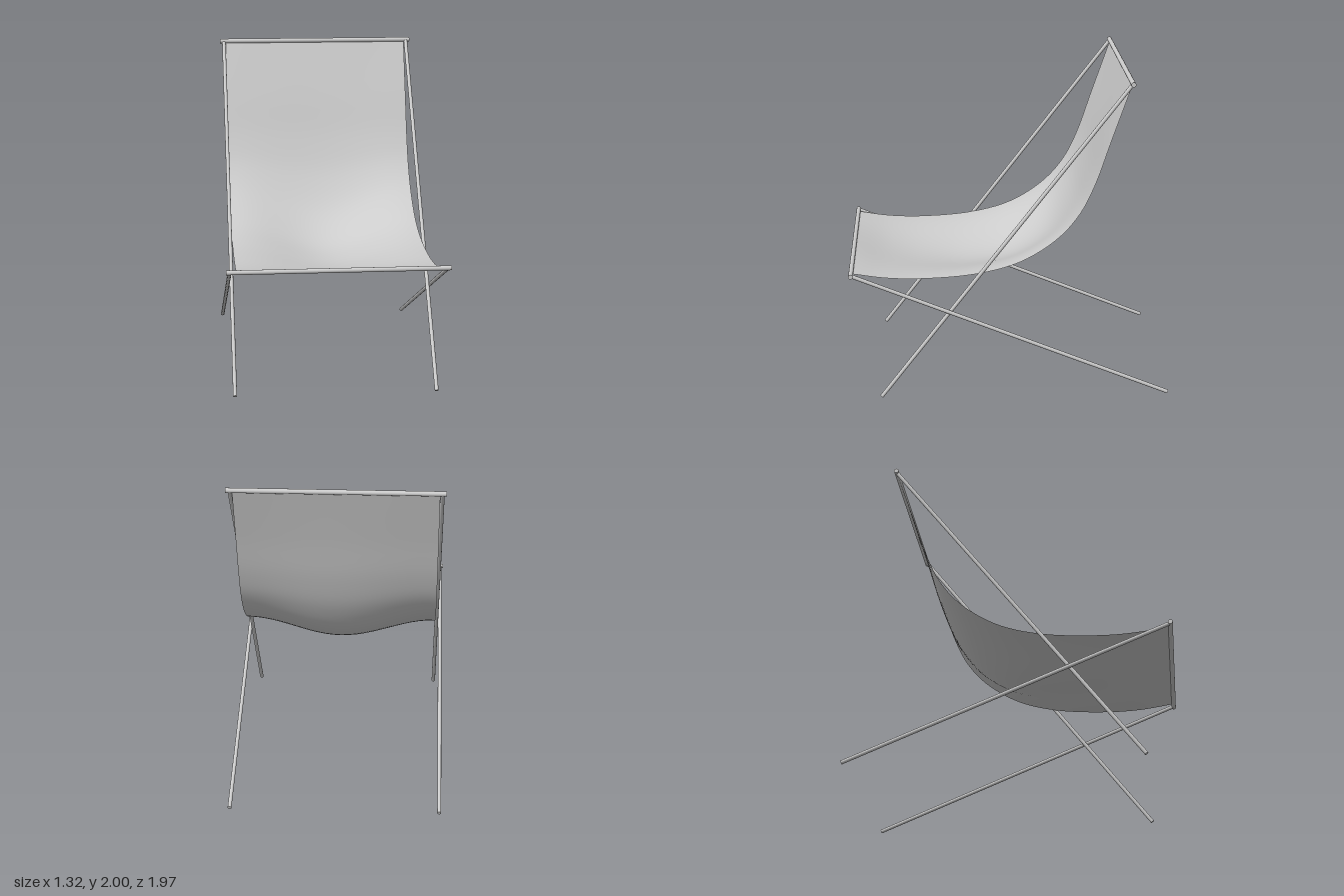
import * as THREE from 'three';

export function createModel() {
  const model = new THREE.Group();
  model.name = 'slingChair';
  const grey = new THREE.MeshStandardMaterial({ color: 0xcccccc });
  grey.name = 'lightGrey';
  const cloth = new THREE.MeshStandardMaterial({ color: 0xcccccc, side: THREE.DoubleSide });
  cloth.name = 'lightGreyCloth';

  // Round bar between two points
  const bar = (name, a, b, radius) => {
    const from = new THREE.Vector3(...a), to = new THREE.Vector3(...b);
    const dir = to.clone().sub(from);
    const mesh = new THREE.Mesh(new THREE.CylinderGeometry(radius, radius, dir.length(), 16), grey);
    mesh.position.copy(from).add(to).multiplyScalar(0.5);
    mesh.quaternion.setFromUnitVectors(new THREE.Vector3(0, 1, 0), dir.normalize());
    mesh.name = name;
    model.add(mesh);
  };

  // Crossed legs on each side
  for (const [side, s] of [['left', 1], ['right', -1]]) {
    bar(side + 'BackrestLeg', [s * 0.613, 0.01, 0.803], [s * 0.613, 1.985, -0.718], 0.012);
    bar(side + 'SeatLeg', [s * 0.641, 0.014, -0.978], [s * 0.641, 0.822, 0.972], 0.012);
  }

  // Rails that carry the cloth
  bar('topRail', [-0.638, 1.985, -0.718], [0.638, 1.985, -0.718], 0.015);
  bar('frontRail', [-0.661, 0.822, 0.972], [0.661, 0.822, 0.972], 0.014);

  // Cloth profiles as [z, y]: taut along the edges, sagging in the middle
  const spline = (pts) => new THREE.CatmullRomCurve3(pts.map(([z, y]) => new THREE.Vector3(0, y, z)));
  const edge = spline([[0.972, 0.822], [0.76, 0.79], [0.53, 0.782], [0.19, 0.81], [-0.07, 0.885],
    [-0.29, 1.03], [-0.42, 1.185], [-0.505, 1.36], [-0.6, 1.64], [-0.718, 1.985]]);
  const middle = spline([[0.972, 0.822], [0.75, 0.755], [0.53, 0.717], [0.25, 0.703], [-0.02, 0.745],
    [-0.25, 0.885], [-0.41, 1.1], [-0.51, 1.33], [-0.603, 1.63], [-0.718, 1.985]]);

  // Sling surface blended between the two profiles
  const rows = 48, cols = 24, halfWidth = 0.6;
  const geometry = new THREE.PlaneGeometry(1, 1, cols, rows);
  const pos = geometry.attributes.position;
  for (let j = 0; j <= rows; j++) {
    const e = edge.getPoint(1 - j / rows), m = middle.getPoint(1 - j / rows);
    for (let i = 0; i <= cols; i++) {
      const u = (i / cols) * 2 - 1;
      const p = e.clone().lerp(m, (1 + Math.cos(Math.PI * u)) / 2);
      pos.setXYZ(j * (cols + 1) + i, u * halfWidth, p.y, p.z);
    }
  }
  geometry.computeVertexNormals();
  const sling = new THREE.Mesh(geometry, cloth);
  sling.name = 'slingSeat';
  model.add(sling);

  return model;
}
